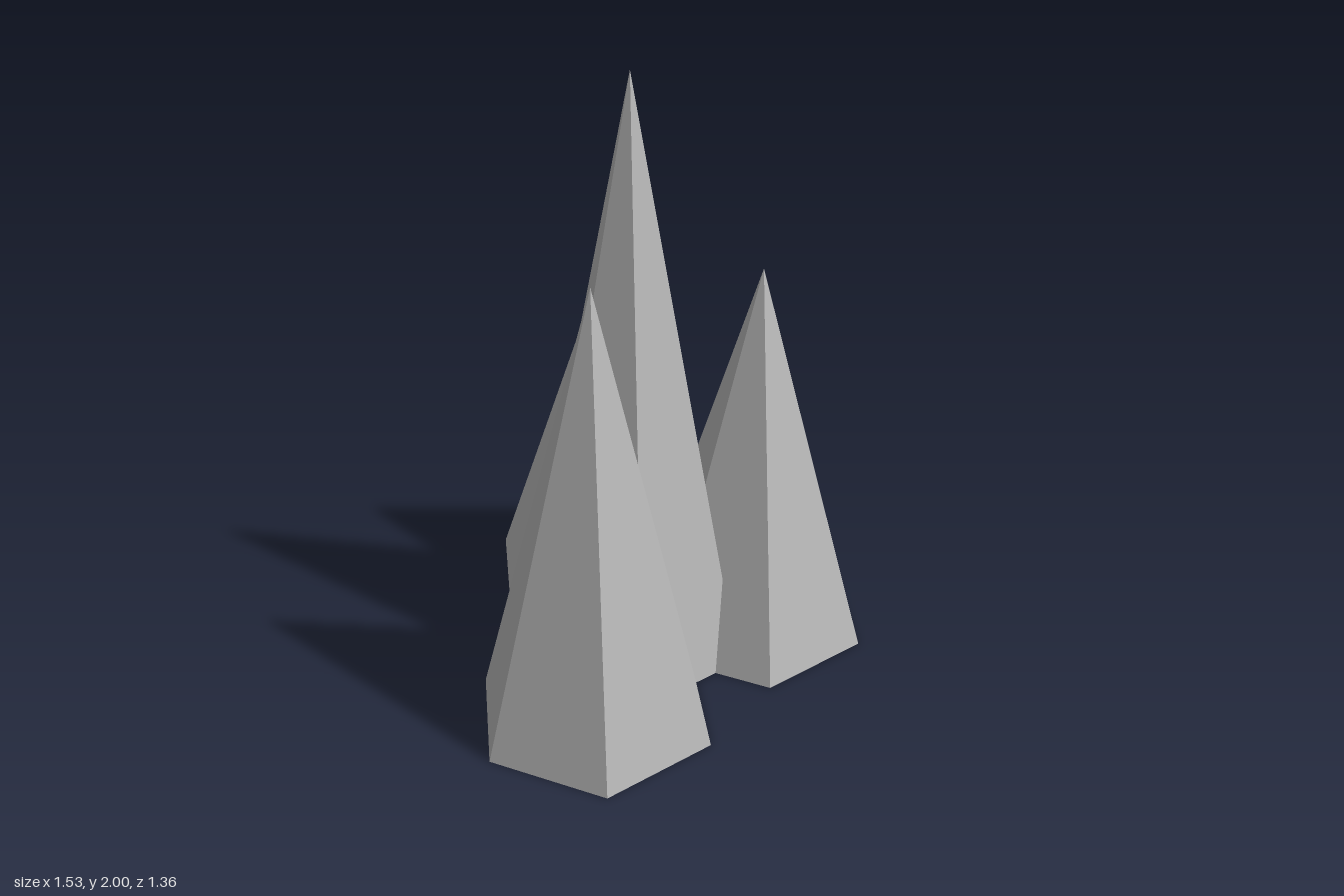
import * as THREE from 'three';

export function createModel() {
  const group = new THREE.Group();
  group.name = 'spireCluster';
  const stone = new THREE.MeshStandardMaterial({ color: 0xbbbbbb, flatShading: true });
  stone.name = 'grey stone';

  // Six-sided spires that overlap at their bases
  const spires = [
    ['centreSpire', -0.0333, 0.0667, 2],
    ['rightFrontSpire', -0.3667, 0.3333, 1.5],
    ['leftFrontSpire', 0.3667, 0.2333, 1.3333],
    ['backSpire', 0.1333, -0.3333, 1.1667],
  ];
  for (const [name, x, z, height] of spires) {
    // Base corners point along x
    const cone = new THREE.ConeGeometry(0.4, height, 6, 1, false, Math.PI / 6);
    cone.translate(0, height / 2, 0);
    const spire = new THREE.Mesh(cone, stone);
    spire.name = name;
    spire.position.set(x, 0, z);
    group.add(spire);
  }
  return group;
}
